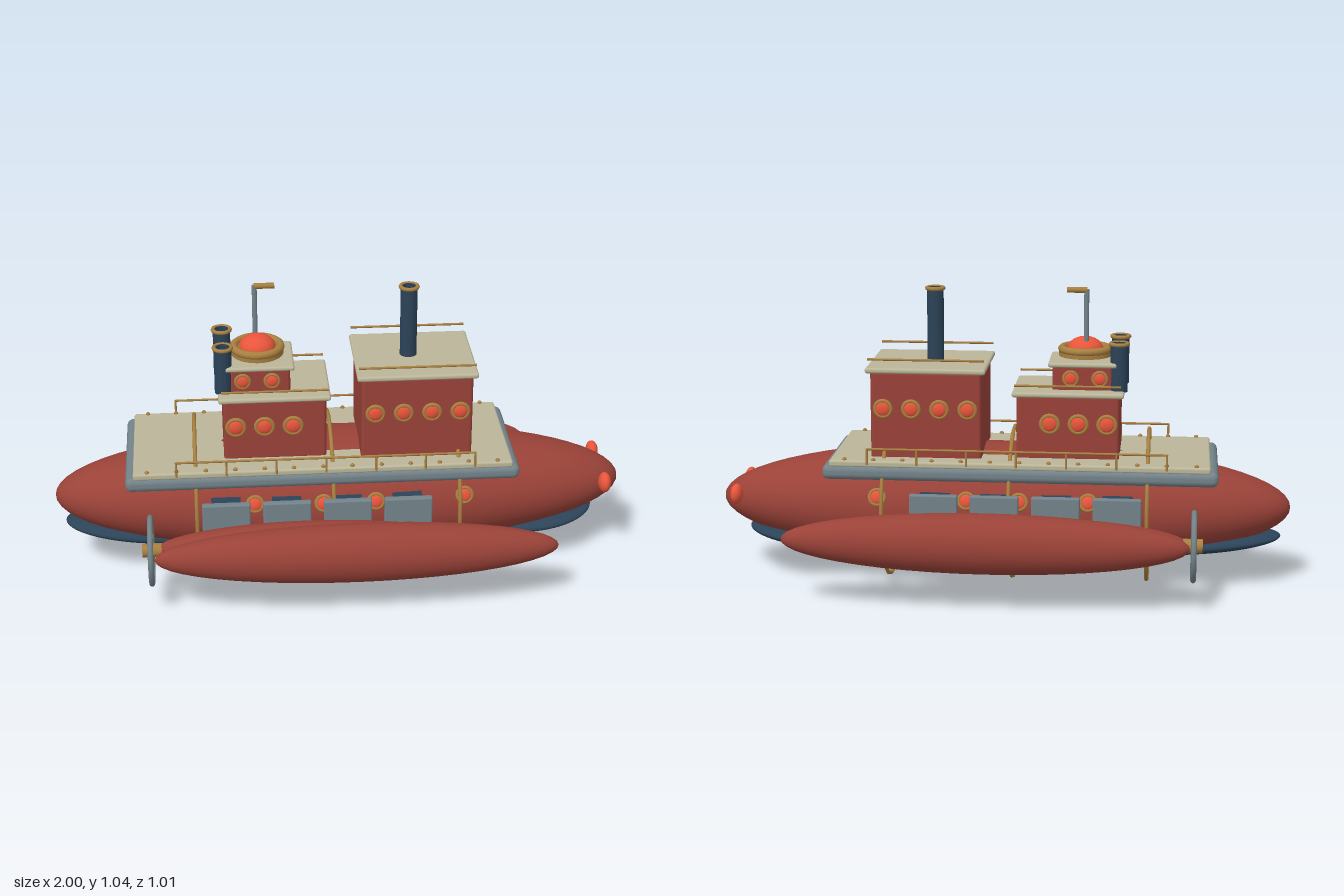
import * as THREE from 'three';
import { RoundedBoxGeometry } from 'three/addons/geometries/RoundedBoxGeometry.js';

const mat = (color) => new THREE.MeshStandardMaterial({ color });
const RED = mat(0x9a4238), TAN = mat(0xbbb699), GREY = mat(0x73838a);
const NAVY = mat(0x2b4358), GOLD = mat(0xa87f40), GLASS = mat(0xe8553b);

export function createModel() {
  const root = new THREE.Group();
  root.name = 'paddleSubmarine';

  const add = (name, geometry, material, x, y, z) => {
    const m = new THREE.Mesh(geometry, material);
    m.name = name;
    m.position.set(x, y, z);
    root.add(m);
    return m;
  };
  // Rounded box given by its extents in x and y, and its half width in z
  const slab = (name, material, x0, x1, y0, y1, halfZ, r = 0.008) =>
    add(name, new RoundedBoxGeometry(x1 - x0, y1 - y0, halfZ * 2, 3, r), material, (x0 + x1) / 2, (y0 + y1) / 2, 0);
  // Ellipsoid with its poles along x
  const ellipsoid = (name, material, x, y, z, rx, ry, rz, w = 32, h = 24) => {
    const g = new THREE.SphereGeometry(1, w, h).rotateZ(-Math.PI / 2).scale(rx, ry, rz);
    return add(name, g, material, x, y, z);
  };
  // Straight round bar between two points
  const bar = (name, material, a, b, r) => {
    const p = new THREE.Vector3(...a), q = new THREE.Vector3(...b);
    const m = add(name, new THREE.CylinderGeometry(r, r, p.distanceTo(q), 10), material, 0, 0, 0);
    m.position.copy(p).add(q).multiplyScalar(0.5);
    m.quaternion.setFromUnitVectors(new THREE.Vector3(0, 1, 0), q.sub(p).normalize());
    return m;
  };
  // Ring standing across the ship
  const ring = (name, material, x, y, z, r, tube, seg) =>
    add(name, new THREE.TorusGeometry(r, tube, 8, seg).rotateY(Math.PI / 2), material, x, y, z);
  const porthole = (x, y, z, r, tilt = 0) => {
    const g = new THREE.Group();
    g.name = 'porthole';
    const frame = new THREE.Mesh(new THREE.TorusGeometry(r * 0.82, r * 0.2, 8, 20), GOLD);
    frame.name = 'portholeFrame';
    const pane = new THREE.Mesh(new THREE.SphereGeometry(r * 0.78, 16, 10).scale(1, 1, 0.45), GLASS);
    pane.name = 'portholeGlass';
    g.add(frame, pane);
    g.position.set(x, y, z);
    g.rotation.set(-tilt, z < 0 ? Math.PI : 0, 0);
    if (z < 0) g.rotation.x = tilt;
    root.add(g);
  };
  // Open pipe with a brass rim
  const funnel = (name, x, z, y0, y1, r) => {
    const pts = [[r, 0], [r, y1 - y0], [r * 0.72, y1 - y0], [r * 0.72, y1 - y0 - 0.05], [0, y1 - y0 - 0.05]];
    const g = new THREE.LatheGeometry(pts.map((p) => new THREE.Vector2(...p)), 20);
    const pipe = new THREE.Mesh(g.toNonIndexed(), NAVY);
    pipe.geometry.computeVertexNormals();
    pipe.name = name;
    pipe.position.set(x, y0, z);
    root.add(pipe);
    add(name + 'Rim', new THREE.TorusGeometry(r, 0.007, 8, 20).rotateX(Math.PI / 2), GOLD, x, y1 - 0.003, z);
  };

  // Hull, eyes and the dark keel patches
  ellipsoid('hull', RED, 0, 0.273, 0, 1, 0.21, 0.25, 40, 32);
  ellipsoid('bowPatch', NAVY, 0.71, 0.145, 0, 0.2, 0.033, 0.155).rotation.z = 0.12;
  ellipsoid('sternPatch', NAVY, -0.67, 0.147, 0, 0.3, 0.036, 0.14).rotation.z = -0.08;

  // Deck
  slab('deckEdge', GREY, -0.745, 0.608, 0.395, 0.447, 0.24, 0.022);
  slab('deck', TAN, -0.718, 0.583, 0.44, 0.464, 0.234);

  // Forward cabin
  slab('forwardCabin', RED, 0.065, 0.447, 0.455, 0.763, 0.168, 0.012);
  slab('forwardRoof', TAN, 0.05, 0.463, 0.757, 0.776, 0.181);
  funnel('mainFunnel', 0.24, 0, 0.77, 1.03, 0.029);

  // Aft cabin and wheelhouse
  slab('aftCabin', RED, -0.405, -0.052, 0.455, 0.685, 0.138, 0.012);
  slab('aftRoof', TAN, -0.42, -0.037, 0.677, 0.695, 0.152);
  slab('wheelhouse', RED, -0.378, -0.172, 0.685, 0.78, 0.092, 0.01);
  slab('wheelhouseRoof', TAN, -0.393, -0.158, 0.774, 0.791, 0.108);

  // Cupola and periscope
  add('cupolaBase', new THREE.CylinderGeometry(0.09, 0.09, 0.024, 28), GOLD, -0.28, 0.812, 0);
  add('cupolaRing', new THREE.TorusGeometry(0.08, 0.014, 10, 28).rotateX(Math.PI / 2), GOLD, -0.28, 0.823, 0);
  add('cupolaDome', new THREE.SphereGeometry(0.063, 24, 16).scale(1, 0.72, 1), GLASS, -0.28, 0.821, 0);
  bar('periscopeTube', GREY, [-0.285, 0.8, -0.032], [-0.285, 1.035, -0.032], 0.009);
  bar('periscopeHead', GOLD, [-0.287, 1.032, -0.032], [-0.217, 1.032, -0.032], 0.01);

  // Hoops around the hull
  for (const x of [-0.505, -0.035, 0.4]) ring('hullHoop', GOLD, x, 0.273, 0, 0.266, 0.007, 22);

  // Parts mirrored on both sides
  for (const s of [1, -1]) {
    ellipsoid('eye', GLASS, 0.932, 0.307, 0.121 * s, 0.022, 0.036, 0.036, 20, 14);
    ellipsoid('outerFloat', RED, 0.034, 0.232, 0.41 * s, 0.686, 0.103, 0.093);
    ellipsoid('innerFloat', RED, -0.13, 0.215, 0.315 * s, 0.52, 0.084, 0.075);
    funnel('ventPipe', -0.4, 0.075 * s, 0.69, 0.858, 0.03);

    // Cabin and hull windows
    for (let i = 0; i < 4; i++) porthole(0.112 + i * 0.097, 0.634, 0.171 * s, 0.034);
    for (let i = 0; i < 3; i++) porthole(-0.363 + i * 0.098, 0.585, 0.141 * s, 0.036);
    for (const x of [-0.335, -0.235]) porthole(x, 0.735, 0.095 * s, 0.029);
    for (const x of [-0.305, -0.07, 0.11, 0.42]) {
      porthole(x, 0.333, 0.242 * Math.sqrt(1 - x * x) * s, 0.032, 0.25);
    }

    // Side panels with dark mounts
    for (let i = 0; i < 4; i++) {
      const x = -0.405 + i * 0.208;
      add('sidePanel', new RoundedBoxGeometry(0.165, 0.105, 0.026, 2, 0.006), GREY, x, 0.308, 0.271 * s);
      add('panelMount', new THREE.BoxGeometry(0.1, 0.055, 0.05), NAVY, x, 0.328, 0.24 * s);
    }

    // Deck rail, bolts and roof rails
    bar('deckRail', GOLD, [-0.57, 0.507, 0.238 * s], [0.45, 0.507, 0.238 * s], 0.004);
    for (let i = 0; i < 7; i++) {
      const x = -0.57 + i * 0.17;
      bar('railPost', GOLD, [x, 0.452, 0.238 * s], [x, 0.509, 0.238 * s], 0.004);
    }
    for (let i = 0; i < 13; i++) {
      add('deckBolt', new THREE.SphereGeometry(0.008, 8, 6), GOLD, -0.67 + i * 0.1, 0.465, 0.222 * s);
    }
    bar('forwardRoofRail', GOLD, [0.055, 0.805, 0.17 * s], [0.455, 0.805, 0.17 * s], 0.004);
    bar('aftRoofRail', GOLD, [-0.41, 0.717, 0.142 * s], [-0.045, 0.717, 0.142 * s], 0.004);

    // Paddle wheel with axle, hub and blades
    ring('wheelRim', GREY, -0.665, 0.213, 0.313 * s, 0.114, 0.0095, 28);
    bar('wheelAxle', GOLD, [-0.695, 0.215, 0.313 * s], [-0.58, 0.215, 0.313 * s], 0.024);
    for (let i = 0; i < 4; i++) {
      const a = Math.PI / 4 + (i * Math.PI) / 2;
      const blade = add('wheelBlade', new THREE.BoxGeometry(0.014, 0.095, 0.03), GOLD,
        -0.665, 0.213 + Math.cos(a) * 0.06, 0.313 * s + Math.sin(a) * 0.06);
      blade.rotation.x = a;
    }
  }
  return root;
}
